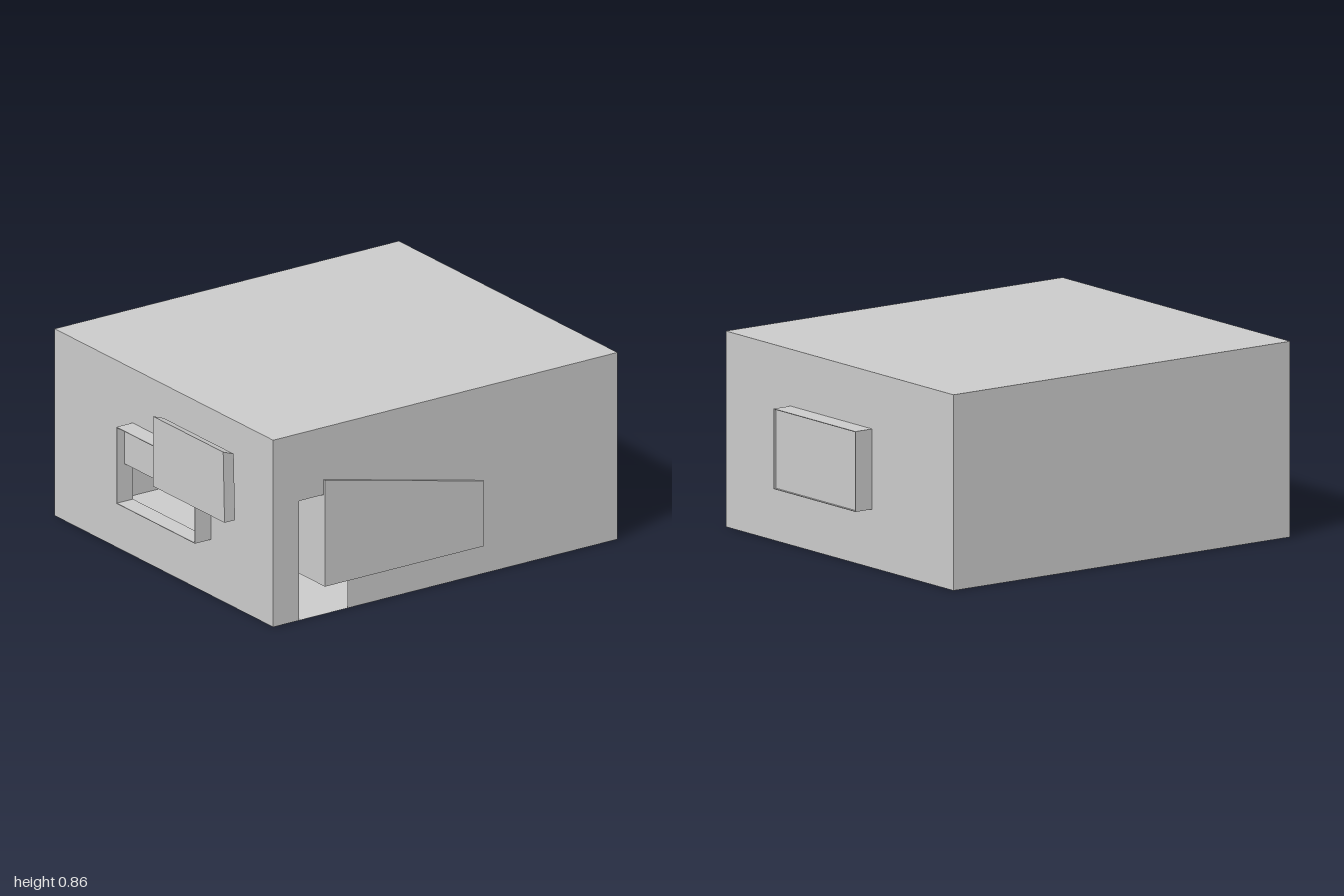
import * as THREE from 'three';

const material = new THREE.MeshStandardMaterial({ color: 0xcccccc, side: THREE.DoubleSide, flatShading: true });

// Room extents
const X0 = -0.82, X1 = 0.805, H = 0.86, Z0 = -0.91, Z1 = 0.9;
// Window opening
const win = { x0: -0.24, x1: 0.343, y0: 0.257, y1: 0.61 };

function outline(points) {
  return new THREE.Shape(points.map(([a, b]) => new THREE.Vector2(a, b)));
}
const rect = (a0, b0, a1, b1) => outline([[a0, b0], [a1, b0], [a1, b1], [a0, b1]]);

function add(parent, name, geometry) {
  const mesh = new THREE.Mesh(geometry, material);
  mesh.name = name;
  parent.add(mesh);
  return mesh;
}

function box(parent, name, x0, x1, y0, y1, z0, z1) {
  const geometry = new THREE.BoxGeometry(x1 - x0, y1 - y0, z1 - z0);
  geometry.translate((x0 + x1) / 2, (y0 + y1) / 2, (z0 + z1) / 2);
  return add(parent, name, geometry);
}

// Thin open frame standing proud of a wall
function windowFrame(parent, name, z0, z1) {
  const t = 0.003;
  const ring = rect(win.x0, win.y0, win.x1, win.y1);
  ring.holes.push(rect(win.x0 + t, win.y0 + t, win.x1 - t, win.y1 - t));
  const geometry = new THREE.ExtrudeGeometry(ring, { depth: z1 - z0, bevelEnabled: false });
  add(parent, name, geometry.translate(0, 0, z0));
}

export function createModel() {
  const model = new THREE.Group();
  model.name = 'room';

  // Thin shell: front wall with a window hole, right wall with a door notch
  const front = rect(X0, 0, X1, H);
  front.holes.push(rect(win.x0, win.y0, win.x1, win.y1));
  add(model, 'frontWall', new THREE.ShapeGeometry(front).translate(0, 0, Z1));

  add(model, 'backWall', new THREE.ShapeGeometry(rect(-X1, 0, -X0, H)).rotateY(Math.PI).translate(0, 0, Z0));

  const doorSide = outline([
    [-Z1, 0], [-0.765, 0], [-0.765, 0.55], [-0.51, 0.55], [-0.51, 0], [-Z0, 0], [-Z0, H], [-Z1, H],
  ]);
  add(model, 'doorWall', new THREE.ShapeGeometry(doorSide).rotateY(Math.PI / 2).translate(X1, 0, 0));

  add(model, 'plainWall', new THREE.ShapeGeometry(rect(Z0, 0, Z1, H)).rotateY(-Math.PI / 2).translate(X0, 0, 0));

  add(model, 'roof', new THREE.ShapeGeometry(rect(X0, -Z1, X1, -Z0)).rotateX(-Math.PI / 2).translate(0, H, 0));
  add(model, 'floor', new THREE.ShapeGeometry(rect(X0, Z0, X1, Z1)).rotateX(Math.PI / 2));

  // Front window: upper sash closed, lower half open
  windowFrame(model, 'frontWindowFrame', Z1, 0.985);
  box(model, 'frontUpperSash', -0.237, 0.34, 0.433, 0.607, 0.935, 0.945);

  // Rear window: both sashes closed, slightly recessed
  windowFrame(model, 'rearWindowFrame', -1, Z0);
  box(model, 'rearLowerSash', -0.237, 0.34, 0.26, 0.433, -0.99, -0.93);
  box(model, 'rearUpperSash', -0.237, 0.34, 0.433, 0.607, -0.99, -0.93);

  // Panel in front of the window, with a sloping top and leaning end
  const panel = box(model, 'shutterPanel', 0.053, 0.585, 0.433, 0.755, 0.945, 1);
  const p = panel.geometry.attributes.position;
  for (let i = 0; i < p.count; i++) {
    const top = p.getY(i) > 0.6, back = p.getZ(i) < 0.97;
    if (top && back) p.setY(i, 0.735);
    if (p.getX(i) > 0.3 && top) p.setX(i, 0.575);
  }
  panel.geometry.computeVertexNormals();

  // Wedge-shaped body inside the room that pokes through beside the door
  const wedge = outline([[-0.635, 0.13], [0.2, 0.13], [0.2, 0.43], [-0.635, 0.62]]);
  const wedgeGeometry = new THREE.ExtrudeGeometry(wedge, { depth: 0.415, bevelEnabled: false });
  add(model, 'wedgeBody', wedgeGeometry.rotateY(Math.PI / 2).translate(0.4, 0, 0));

  return model;
}
